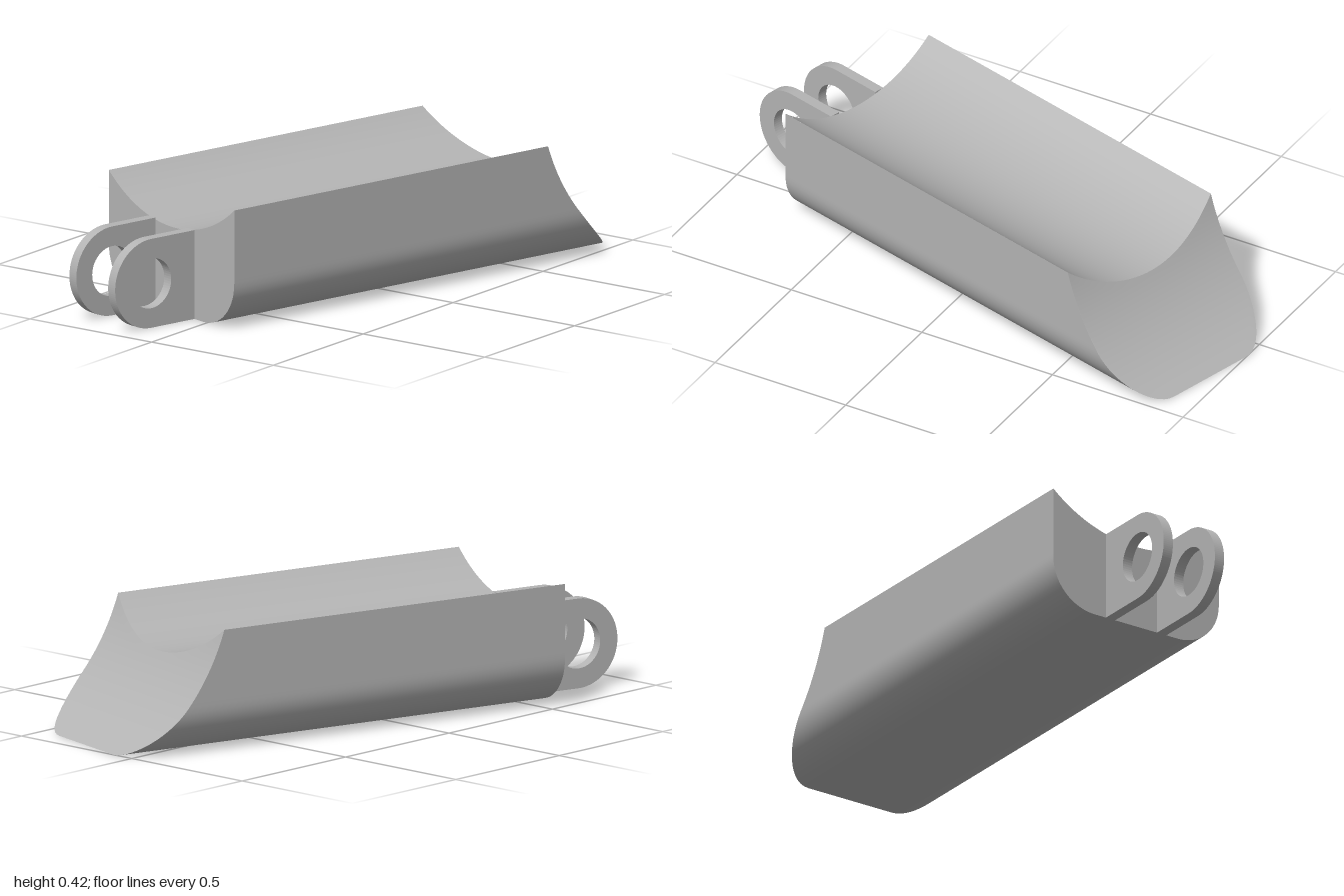
import * as THREE from 'three';

const HALF = 0.333, HEIGHT = 0.415, FILLET = 0.165, BACK = -0.67;

// Concave nose: x of the cut at height y
const noseX = (y) => 1.37 - Math.sqrt(0.5625 - (y - 0.645) ** 2);
// Hollow channel along the top
const topY = (z) => 0.796 - Math.sqrt(0.256 - z * z);

// Smooth surface from a grid of points f(i, j)
function grid(cols, rows, flip, f) {
  const pos = [], index = [];
  for (let i = 0; i <= cols; i++) for (let j = 0; j <= rows; j++) pos.push(...f(i, j));
  for (let i = 0; i < cols; i++) {
    for (let j = 0; j < rows; j++) {
      const a = i * (rows + 1) + j, b = a + rows + 1;
      if (flip) index.push(a, b + 1, b, a, a + 1, b + 1);
      else index.push(a, b, b + 1, a, b + 1, a + 1);
    }
  }
  const g = new THREE.BufferGeometry();
  g.setAttribute('position', new THREE.Float32BufferAttribute(pos, 3));
  g.setIndex(index);
  g.computeVertexNormals();
  return g;
}

export function createModel() {
  const grey = new THREE.MeshStandardMaterial({ color: 0xb4b4b4 });
  grey.name = 'grey';
  const model = new THREE.Group();
  model.name = 'channelBlock';
  const add = (name, geometry) => {
    const mesh = new THREE.Mesh(geometry, grey);
    mesh.name = name;
    model.add(mesh);
    return mesh;
  };

  // Lower edge of the section: fillet, flat bottom, fillet, as [z, y]
  const N = 14, FLAT = 20, ROWS = 14;
  const flat = HALF - FILLET;
  const arc = [];
  for (let k = 0; k <= N; k++) {
    const a = (k / N) * Math.PI / 2;
    arc.push([flat + FILLET * Math.sin(a), FILLET * (1 - Math.cos(a))]);
  }
  const low = arc.map(([z, y]) => [-z, y]).reverse();
  for (let k = 1; k < FLAT; k++) low.push([-flat + 2 * flat * k / FLAT, 0]);
  low.push(...arc);
  const last = low.length - 1;

  // Side walls and rounded underside in one smooth shell
  const wall = [];
  for (let k = 0; k < ROWS; k++) wall.push(HEIGHT + (FILLET - HEIGHT) * k / ROWS);
  const shell = [
    ...wall.map((y) => [-HALF, y]),
    ...low,
    ...wall.map((y) => [HALF, y]).reverse(),
  ];
  add('bodyShell', grid(shell.length - 1, 1, true, (i, j) => {
    const [z, y] = shell[i];
    return [j ? noseX(y) : BACK, y, z];
  }));

  // Channel, nose and back wall
  add('topChannel', grid(last, 1, false, (i, j) => {
    const z = low[i][0], y = topY(z);
    return [j ? noseX(y) : BACK, y, z];
  }));
  const endPoint = (i, j) => {
    const [z, y] = low[i];
    return [y + (topY(z) - y) * j / ROWS, z];
  };
  add('nose', grid(last, ROWS, true, (i, j) => {
    const [y, z] = endPoint(i, j);
    return [noseX(y), y, z];
  }));
  add('backWall', grid(last, ROWS, false, (i, j) => {
    const [y, z] = endPoint(i, j);
    return [BACK, y, z];
  }));

  // Pair of hinge lugs with pin holes
  const R = 0.152, CX = -0.853, T = 0.037;
  const outline = new THREE.Shape();
  outline.moveTo(BACK, 0);
  outline.lineTo(BACK, 2 * R);
  outline.lineTo(CX, 2 * R);
  outline.absarc(CX, R, R, Math.PI / 2, Math.PI * 1.5, false);
  outline.lineTo(BACK, 0);
  outline.holes.push(new THREE.Path().absarc(CX, R, 0.085, 0, Math.PI * 2, true));
  const lug = new THREE.ExtrudeGeometry(outline, { depth: T, bevelEnabled: false, curveSegments: 32 });
  lug.translate(0, 0, -T / 2);
  for (const side of [-1, 1]) {
    add(side > 0 ? 'frontLug' : 'rearLug', lug).position.z = side * 0.103;
  }

  // The whole block sits turned about the vertical axis
  model.rotation.y = -Math.PI / 12;
  model.position.set(0.002, 0, -0.007);
  const root = new THREE.Group();
  root.name = 'model';
  root.add(model);
  return root;
}
